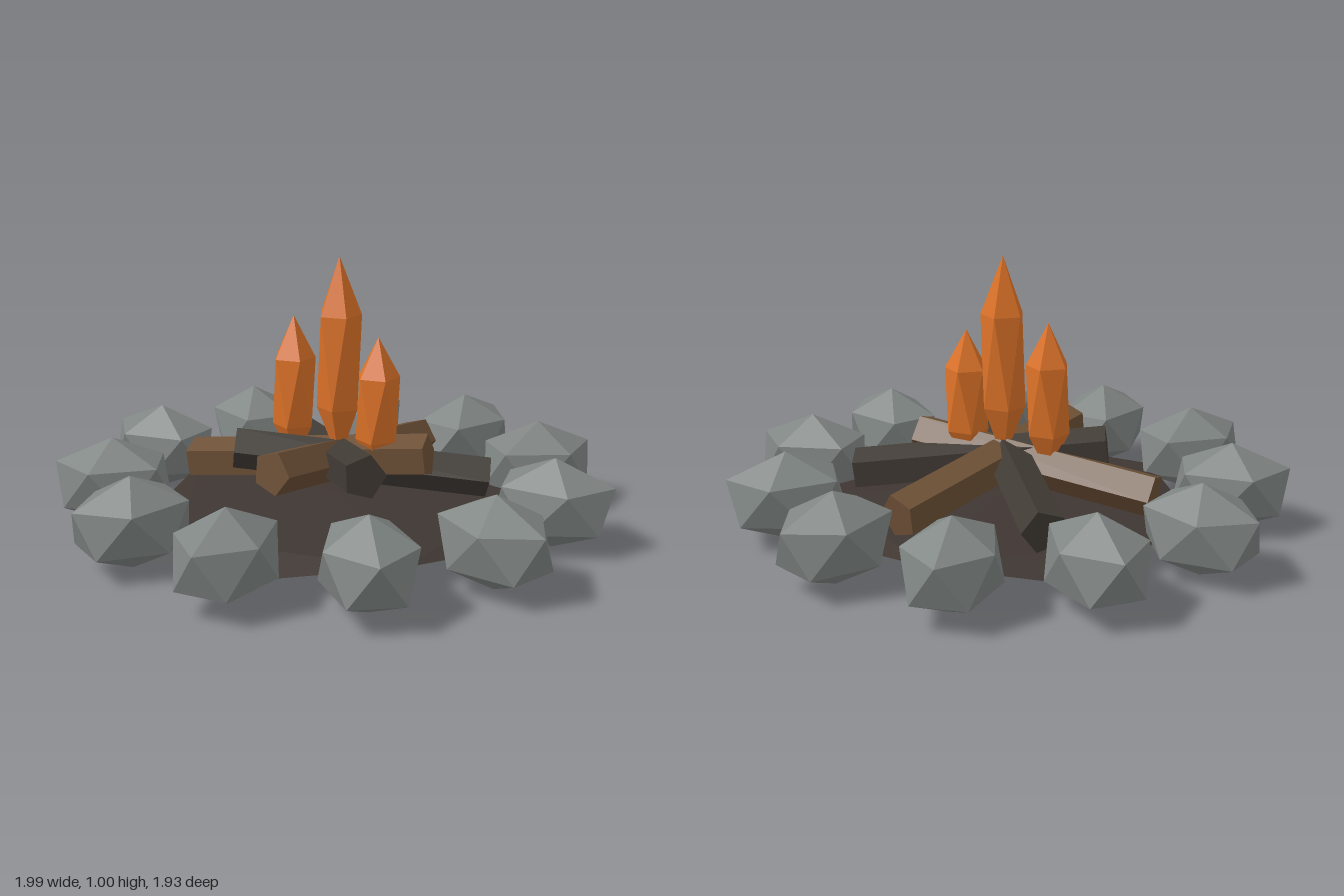
import * as THREE from 'three';

const material = (name, color) => {
  const m = new THREE.MeshStandardMaterial({ color });
  m.name = name;
  return m;
};

// Twenty-sided solid standing on a corner, with a corner of the upper ring on +x
function gemGeometry() {
  const points = [0, 1, 0];
  const ring = (y, start) => {
    for (let k = 0; k < 5; k++) {
      const a = start + (k * Math.PI * 2) / 5;
      points.push(Math.cos(a) * 0.8944, y, -Math.sin(a) * 0.8944);
    }
  };
  ring(0.4472, 0);
  ring(-0.4472, Math.PI / 5);
  points.push(0, -1, 0);
  const faces = [];
  for (let k = 0; k < 5; k++) {
    const n = (k + 1) % 5;
    const t0 = 1 + k, t1 = 1 + n, b0 = 6 + k, b1 = 6 + n;
    faces.push(0, t0, t1, t0, b0, t1, b0, b1, t1, 11, b1, b0);
  }
  return new THREE.PolyhedronGeometry(points, faces, 1, 0);
}

// Five-sided prism along z, one corner pointing sideways
function logGeometry(radius, length) {
  const g = new THREE.CylinderGeometry(radius, radius, length, 5).toNonIndexed();
  g.rotateX(Math.PI / 2);
  g.rotateZ(Math.PI / 2);
  g.computeVertexNormals();
  return g;
}

export function createModel() {
  const model = new THREE.Group();
  model.name = 'campfire';
  const stone = material('stone grey', 0x7f8583);
  const ash = material('ash brown', 0x3f3632);
  const darkWood = material('charred wood', 0x403a34);
  const lightWood = material('brown wood', 0x6d5036);
  const fire = material('flame orange', 0xdc7228);

  const gem = gemGeometry();
  const addGem = (name, mat, position, scale, turn = 0) => {
    const mesh = new THREE.Mesh(gem, mat);
    mesh.name = name;
    mesh.position.set(...position);
    mesh.scale.set(...scale);
    mesh.rotation.y = turn;
    model.add(mesh);
  };

  // Ash bed
  addGem('ashBed', ash, [0.035, 0.08, 0], [0.753, 0.045, 0.753]);

  // Ring of eleven stones, each pointing outwards
  for (let i = 0; i < 11; i++) {
    const a = Math.PI + (i * Math.PI * 2) / 11;
    addGem('stone' + (i + 1), stone,
      [0.017 + 0.806 * Math.cos(a), 0.165, -0.766 * Math.sin(a)],
      [0.236, 0.165, 0.18], a);
  }

  // Crossed logs: low end (x, z), high end (x, z)
  const logs = [
    [darkWood, 0.58, 0, -0.34, 0],
    [lightWood, -0.51, -0.18, 0.355, 0.11],
    [lightWood, 0.355, -0.45, -0.195, 0.3],
    [darkWood, -0.145, -0.54, 0.125, 0.34],
  ];
  logs.forEach(([mat, x0, z0, x1, z1], i) => {
    const low = new THREE.Vector3(x0, 0.19, z0);
    const high = new THREE.Vector3(x1, 0.3, z1);
    const mesh = new THREE.Mesh(logGeometry(0.08, low.distanceTo(high)), mat);
    mesh.name = 'log' + (i + 1);
    mesh.position.copy(low).add(high).multiplyScalar(0.5);
    mesh.lookAt(high);
    model.add(mesh);
  });

  // Flames
  addGem('middleFlame', fire, [0.037, 0.62, 0], [0.09, 0.38, 0.09]);
  addGem('rightFlame', fire, [-0.127, 0.495, -0.055], [0.088, 0.28, 0.088]);
  addGem('leftFlame', fire, [0.175, 0.46, 0.05], [0.088, 0.26, 0.088]);

  return model;
}
